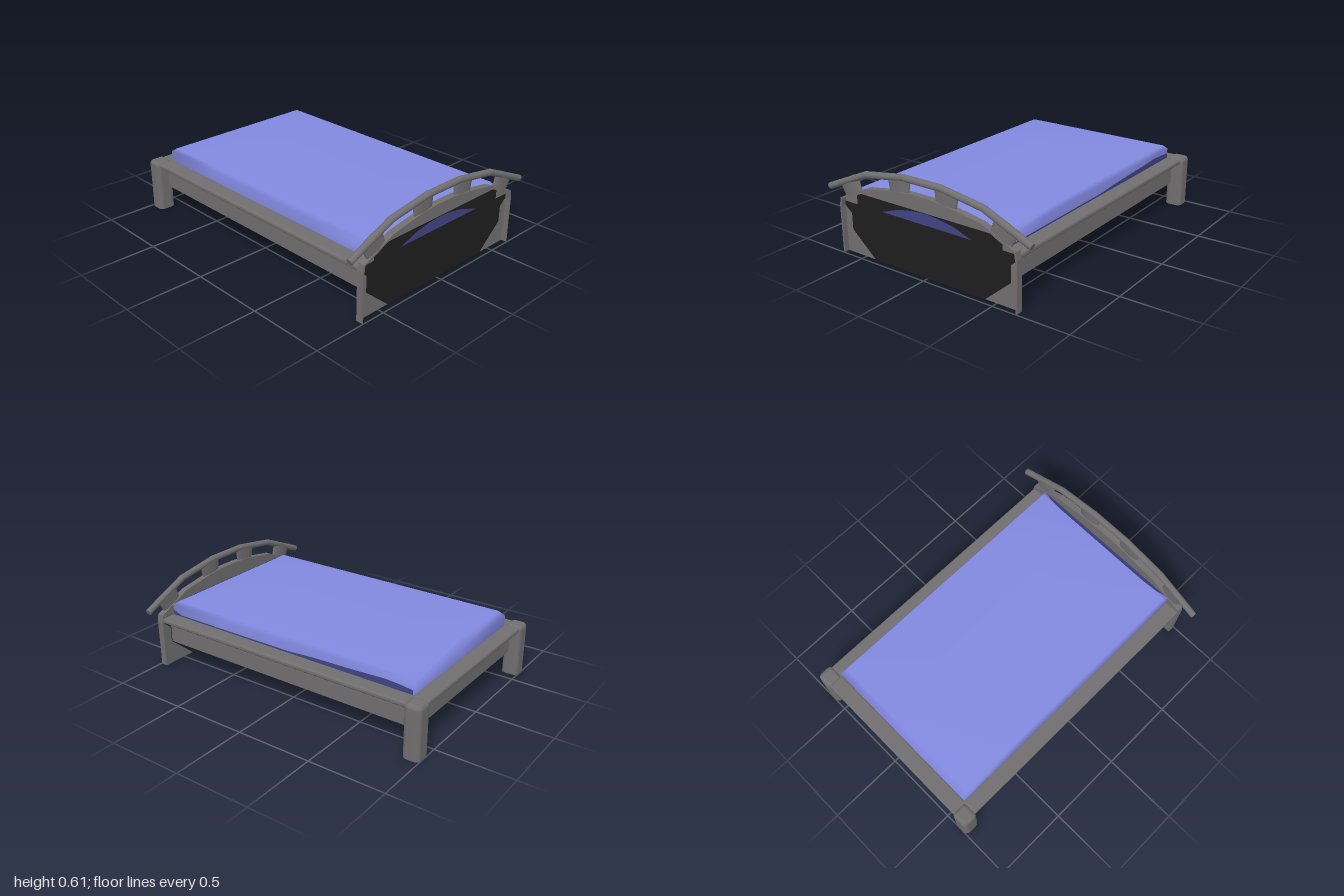
import * as THREE from 'three';
import { mergeVertices } from 'three/addons/utils/BufferGeometryUtils.js';
import { RoundedBoxGeometry } from 'three/addons/geometries/RoundedBoxGeometry.js';

const material = (name, color) => {
  const m = new THREE.MeshStandardMaterial({ color, side: THREE.DoubleSide });
  m.name = name;
  return m;
};
const gray = material('frame gray', 0x706e6e);
const dark = material('panel charcoal', 0x1e1e1e);
const blue = material('mattress blue', 0x8289e0);
const navy = material('mattress dark blue', 0x404482);

export function createModel() {
  const root = new THREE.Group();
  root.name = 'bed';

  const add = (name, geo, mat, x = 0, y = 0, z = 0) => {
    const m = new THREE.Mesh(geo, mat);
    m.name = name;
    m.position.set(x, y, z);
    root.add(m);
    return m;
  };
  // Box given by its limits, mirrored to either side when s is -1
  const box = (name, s, x0, x1, y0, y1, z0, z1, mat = gray, r = 0) => {
    const size = [x1 - x0, y1 - y0, z1 - z0];
    const g = r ? new RoundedBoxGeometry(...size, 3, r) : new THREE.BoxGeometry(...size);
    return add(name, g, mat, s * (x0 + x1) / 2, (y0 + y1) / 2, (z0 + z1) / 2);
  };
  const outline = pts => new THREE.Shape(pts.map(p => new THREE.Vector2(...p)));
  // Completes a half outline (x > 0) with its mirror image
  const mirrored = half => [...half, ...half.map(([x, y]) => [-x, y]).reverse()];

  // Mattress: a soft shell with sloped top edges, open underneath
  const mg = new THREE.BoxGeometry(1, 1, 1, 2, 2, 4);
  const mp = mg.attributes.position;
  for (let i = 0; i < mp.count; i++) {
    const h = mp.getY(i);
    const inset = h > 0.4 ? 0.04 : 0;
    mp.setXYZ(i,
      mp.getX(i) * 2 * (0.556 - inset * 0.4),
      h > 0.4 ? 0.43 : h < -0.4 ? 0.327 : 0.402,
      mp.getZ(i) * 2 * (0.922 - inset) + 0.033);
  }
  const underside = mg.groups[3];
  const kept = Array.from(mg.index.array);
  kept.splice(underside.start, underside.count);
  mg.setIndex(kept);
  mg.clearGroups();
  mg.deleteAttribute('normal');
  mg.deleteAttribute('uv');
  const mattressGeo = mergeVertices(mg);
  mattressGeo.computeVertexNormals();
  add('mattress', mattressGeo, blue);

  // Dark patches on the mattress: head slope, head end and left side
  const slope = add('mattressHeadSlope', new THREE.ShapeGeometry(outline(mirrored(
    [[0.55, -0.024], [0.48, 0.008], [0.37, 0.022]]))), navy, 0.005, 0.418, 0.937);
  slope.rotation.x = -0.96;
  add('mattressHeadEnd', new THREE.ShapeGeometry(outline(mirrored(
    [[0.34, 0.333], [0.2, 0.38], [0.1, 0.397], [0.03, 0.403]]))), navy, 0, 0, 0.964);
  const sideBand = add('mattressSideBand', new THREE.ShapeGeometry(outline([
    [-0.95, 0.335], [0.885, 0.335], [0.885, 0.365], [0.8, 0.375], [0.7, 0.38], [0.5, 0.37],
    [0.2, 0.36], [0, 0.347], [-0.88, 0.345], [-0.95, 0.372]])), navy, 0.559, 0, 0);
  sideBand.rotation.y = Math.PI / 2;

  // Rails: rounded cap with a charcoal underside over a recessed apron
  const capMats = [gray, gray, gray, dark, gray, gray];
  for (const s of [-1, 1]) {
    const side = s > 0 ? 'left' : 'right';
    box(side + 'RailCap', s, 0.55, 0.657, 0.303, 0.337, -0.9, 0.96, capMats, 0.013);
    box(side + 'RailApron', s, 0.565, 0.595, 0.155, 0.315, -0.9, 0.955);

    // Foot post: rounded top and corners, cut flat at the floor
    const post = box(side + 'FootPost', s, 0.56, 0.674, -0.05, 0.345, -1, -0.89, gray, 0.03);
    const pp = post.geometry.attributes.position;
    for (let i = 0; i < pp.count; i++) pp.setY(i, Math.max(pp.getY(i), -post.position.y));
  }
  box('footRailCap', 1, -0.57, 0.57, 0.303, 0.337, -0.99, -0.885, capMats, 0.013);
  box('footRailApron', 1, -0.57, 0.57, 0.155, 0.315, -0.93, -0.9);

  // Headboard: a recessed arched panel inside a thin rim
  const arch = [[0.663, 0], [0.663, 0.31], [0.655, 0.36], [0.43, 0.463], [0.2, 0.502], [0.07, 0.513]];
  const extrude = (pts, depth) => new THREE.ExtrudeGeometry(outline(pts), { depth, bevelEnabled: false });
  add('headboardPanel', extrude(mirrored(arch), 0.008), gray, 0, 0, 0.951);
  const inner = arch.map(([x, y]) => [x * 0.985, Math.max(0, y - 0.008)]);
  add('headboardRim', extrude([...mirrored(arch), ...mirrored(inner).reverse()], 0.043), gray, 0, 0, 0.951);

  // Charcoal field on both faces of the panel
  const field = new THREE.ShapeGeometry(outline(mirrored([
    [0.42, 0], [0.6, 0.155], [0.6, 0.26], [0.65, 0.3], [0.65, 0.33], [0.545, 0.33], [0.545, 0.405]])));
  add('headboardFieldFront', field, dark, 0, 0, 0.961);
  add('headboardFieldBack', field, dark, 0, 0, 0.949).rotation.y = Math.PI;

  // Bent top rail
  const path = [[-0.75, 0.41], [-0.435, 0.547], [-0.14, 0.593], [0.14, 0.593], [0.435, 0.547], [0.75, 0.41]];
  const r = 0.021, railZ = 0.977;
  for (let i = 1; i < path.length; i++) {
    const [x0, y0] = path[i - 1], [x1, y1] = path[i];
    const dx = x1 - x0, dy = y1 - y0;
    const seg = add('topRailSegment', new THREE.CylinderGeometry(r, r, Math.hypot(dx, dy), 16), gray,
      (x0 + x1) / 2, (y0 + y1) / 2, railZ);
    seg.rotation.z = Math.atan2(dy, dx) - Math.PI / 2;
    if (i > 1) add('topRailJoint', new THREE.SphereGeometry(r, 16, 10), gray, x0, y0, railZ);
  }

  // Flattened supports between headboard and top rail
  for (const s of [-1, 1]) {
    for (const [x, y, tilt, len] of [[0.175, 0.537, 0.06, 0.085], [0.566, 0.442, 0.42, 0.11]]) {
      const post = add('railSupport', new THREE.CylinderGeometry(0.087, 0.075, len, 16), gray, s * x, y, 0.974);
      post.scale.z = 0.22;
      post.rotation.z = -s * tilt;
    }
  }
  return root;
}
